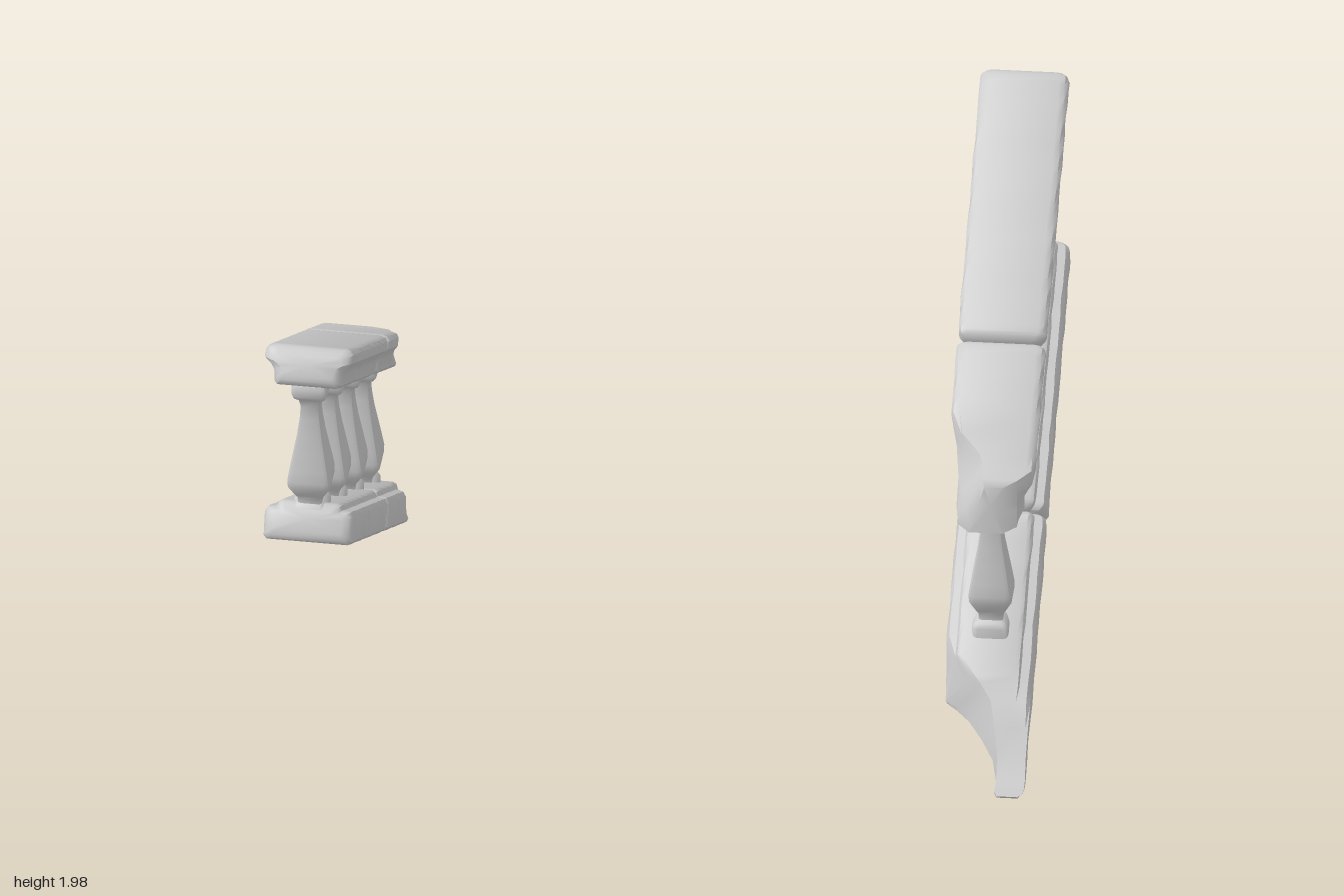
import * as THREE from 'three';
import { toCreasedNormals } from 'three/addons/utils/BufferGeometryUtils.js';

const stone = new THREE.MeshStandardMaterial({ color: 0xcccccc });
const SLOPE = Math.atan2(1.195, 1.82);
const C = Math.cos(SLOPE), S = Math.sin(SLOPE);
const THICK = 0.145, HALF = 0.16;

// Skin a list of equal-length rings of [x, y, z] points and cap both ends
function loft(rings, crease) {
  const n = rings[0].length, pos = rings.flat(2), idx = [];
  for (let i = 0; i < rings.length - 1; i++) {
    for (let j = 0; j < n; j++) {
      const k = (j + 1) % n;
      const a = i * n + j, b = i * n + k, d = a + n, c = b + n;
      idx.push(a, d, b, b, d, c);
    }
  }
  [0, rings.length - 1].forEach((r, end) => {
    const centre = pos.length / 3;
    for (let k = 0; k < 3; k++) pos.push(rings[r].reduce((t, p) => t + p[k], 0) / n);
    for (let j = 0; j < n; j++) {
      const a = r * n + j, b = r * n + (j + 1) % n;
      if (end) idx.push(centre, b, a);
      else idx.push(centre, a, b);
    }
  });
  const g = new THREE.BufferGeometry();
  g.setAttribute('position', new THREE.Float32BufferAttribute(pos, 3));
  g.setIndex(idx);
  return toCreasedNormals(g, crease);
}

// Right halves of the rail sections as [x, height], bottom to top
const lowerHalf = [[0.148, 0], [0.16, 0.012], [0.16, 0.1], [0.15, 0.118], [0.122, 0.122], [0.114, 0.138], [0.1, 0.145]];
const upperHalf = [[0.11, 0], [0.122, 0.012], [0.124, 0.05], [0.135, 0.07], [0.16, 0.095], [0.16, 0.125], [0.15, 0.138], [0.13, 0.145]];
const mirrored = (half) => [...half, ...half.map(([x, v]) => [-x, v]).reverse()];

// Small inward waviness of the worn edges
const wear = (s, j) => 0.0025 * (1 + Math.sin(s * 41 + j * 2.3) * Math.sin(s * 17 + j));

// One section across a rail at distance s down the slope
function railRing(profile, origin, { s, inset = 0, lean = 0, left = -HALF, right = HALF, cut = 0, h = THICK }) {
  return profile.map(([px, pv], j) => {
    let v = THICK / 2 + (pv - THICK / 2) * (1 - inset / (THICK / 2));
    v = Math.min(v, h);
    const up = v / THICK;
    let x = px * (1 - inset / HALF);
    x -= Math.sign(x) * wear(s, j);
    x = Math.max(left, Math.min(x, right - cut * up));
    const along = s - lean * up;
    return [x, origin[1] - S * along + C * v, origin[0] - C * along - S * v];
  });
}

// Rounded start, evenly spaced middle, then either a rounded or a broken end
function railStations(start, end, round, broken) {
  const list = [[0, 1], [0.25, 0.5], [0.6, 0.15], [1, 0]].map(([t, i]) => ({ s: start + t * round, inset: i * round }));
  const steps = Math.round((end - start) / 0.06);
  for (let i = 1; i < steps; i++) {
    const s = start + (end - start) * i / steps;
    if (s > start + round && s < end - round) list.push({ s });
  }
  if (broken) return list.concat(broken);
  return list.concat([[1, 0], [0.6, 0.15], [0.25, 0.5], [0, 1]].map(([t, i]) => ({ s: end - t * round, inset: i * round })));
}

// Broken ends, as [s, lean, left, right, cut, height]
const station = ([s, lean, left, right, cut, h]) => ({ s, lean, left, right, cut, h });
const upperBreak = [
  [1.38, 0, -0.16, 0.16, 0, 0.145],
  [1.5, 0.03, -0.16, 0.16, 0.05, 0.145],
  [1.62, 0.07, -0.16, 0.16, 0.12, 0.145],
  [1.7, 0.1, -0.15, 0.15, 0.13, 0.142],
  [1.76, 0.12, -0.1, 0.12, 0.1, 0.138],
  [1.79, 0.13, -0.05, 0.07, 0.06, 0.13],
].map(station);
const lowerBreak = [
  [1.6, 0, -0.16, 0.16, 0, 0.145],
  [1.7, 0.02, -0.16, 0.16, 0.05, 0.145],
  [1.81, 0.05, -0.16, 0.16, 0.12, 0.14],
  [1.835, 0.05, -0.16, 0.11, 0.1, 0.13],
  [1.88, 0.04, -0.16, 0.06, 0.1, 0.115],
  [1.95, 0.02, -0.16, 0.01, 0.08, 0.085],
  [2.03, 0, -0.16, -0.035, 0.06, 0.042],
  [2.12, 0, -0.16, -0.055, 0, 0.025],
  [2.16, 0, -0.155, -0.05, 0, 0.014],
  [2.175, 0, -0.135, -0.06, 0, 0.01],
].map(station);

function rail(name, half, origin, stations) {
  const profile = mirrored(half);
  const mesh = new THREE.Mesh(loft(stations.map((st) => railRing(profile, origin, st)), 0.6), stone);
  mesh.name = name;
  return mesh;
}

// Square baluster with softened corners: [height, half width], top to bottom
const balusterProfile = [
  [1.83, 0.058], [1.815, 0.064], [1.785, 0.064], [1.77, 0.058], [1.755, 0.042], [1.72, 0.034],
  [1.67, 0.037], [1.6, 0.046], [1.53, 0.058], [1.46, 0.07], [1.415, 0.077], [1.385, 0.076],
  [1.345, 0.055], [1.325, 0.044], [1.305, 0.044], [1.295, 0.056], [1.28, 0.065], [1.2, 0.066],
];
function balusterGeometry() {
  const corner = [[1, -0.72], [1, 0.72], [0.92, 0.92]];
  const square = [];
  for (let q = 0; q < 4; q++) {
    const c = Math.round(Math.cos(q * Math.PI / 2)), s = Math.round(Math.sin(q * Math.PI / 2));
    for (const [x, w] of corner) square.push([x * c - w * s, x * s + w * c]);
  }
  return loft(balusterProfile.map(([y, r]) => square.map(([x, w]) => [x * r, y, -w * r])), 0.7);
}

export function createModel() {
  const model = new THREE.Group();
  model.name = 'stairBalustrade';
  const lower = [0.91, 1.195], upper = [0.91, 1.88];

  // Two stone lengths per rail, the lower of each broken off
  model.add(
    rail('lowerRailTopLength', lowerHalf, lower, railStations(0, 1.088, 0.035)),
    rail('lowerRailBrokenLength', lowerHalf, lower, railStations(1.092, 1.6, 0.025, lowerBreak)),
    rail('handrailTopLength', upperHalf, upper, railStations(0, 1.088, 0.035)),
    rail('handrailBrokenLength', upperHalf, upper, railStations(1.092, 1.38, 0.025, upperBreak)),
  );

  // Four upright balusters stepping down the slope
  const geometry = balusterGeometry();
  for (let i = 0; i < 4; i++) {
    const baluster = new THREE.Mesh(geometry, stone);
    baluster.name = 'baluster' + (i + 1);
    baluster.position.set(0, -0.271 * i, 0.783 - 0.413 * i);
    model.add(baluster);
  }
  return model;
}
